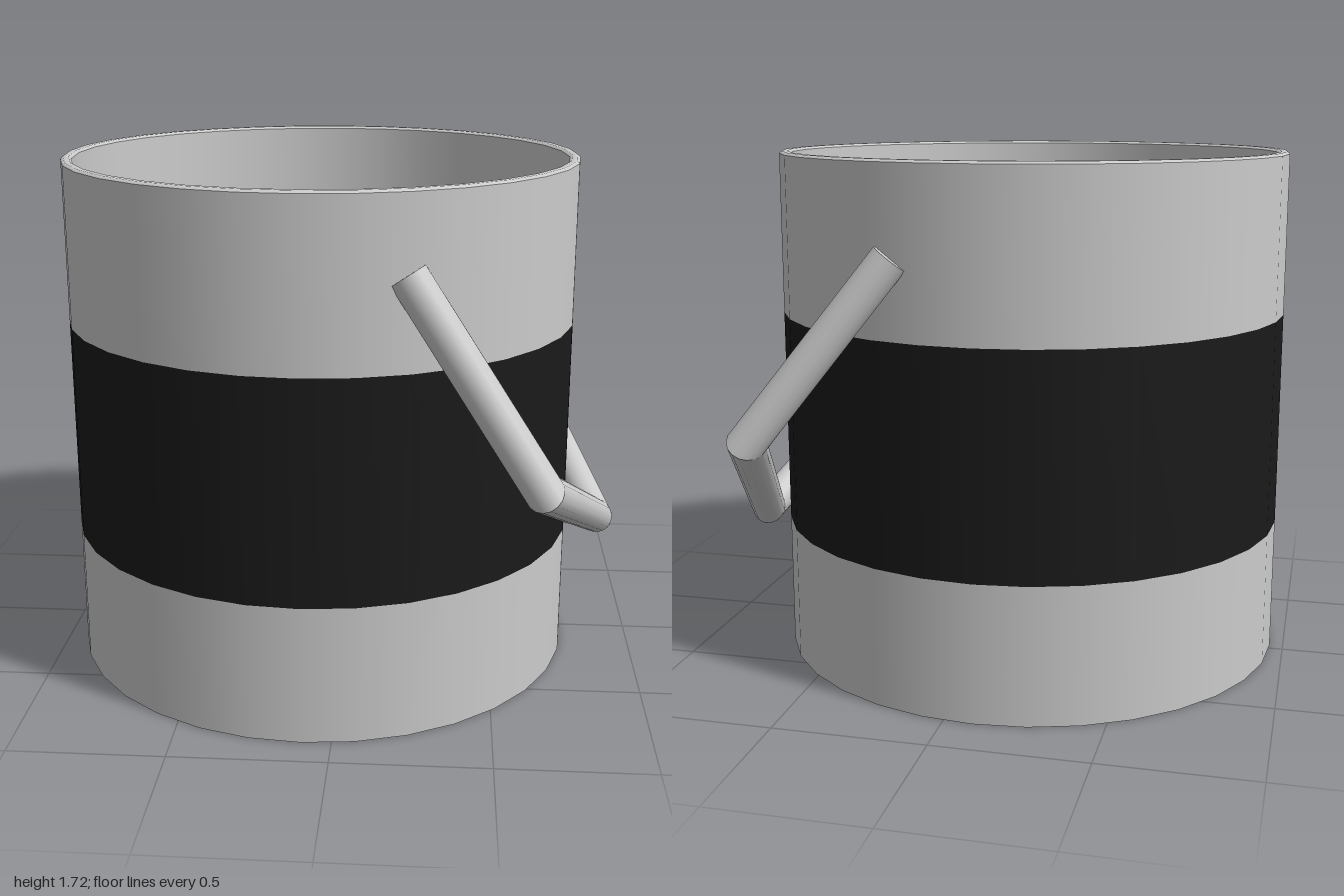
import * as THREE from 'three';

const R = 0.86, H = 1.72, WALL = 0.035, SIDES = 32;
const CX = -0.095, CZ = 0.03; // axis of the bucket
const grey = new THREE.MeshStandardMaterial({ color: 0xcccccc });
const dark = new THREE.MeshStandardMaterial({ color: 0x1a1a1a });

// one turned strip of the bucket, from [radius, height] points
function strip(name, points, material = grey) {
  const geometry = new THREE.LatheGeometry(points.map(p => new THREE.Vector2(...p)), SIDES);
  const mesh = new THREE.Mesh(geometry, material);
  mesh.name = name;
  return mesh;
}

// straight rod from a to b, its ends slid along the rod onto the mitre planes
function mitredRod(a, b, normalA, normalB, radius) {
  const dir = b.clone().sub(a).normalize();
  const geometry = new THREE.CylinderGeometry(radius, radius, a.distanceTo(b), 16, 1);
  geometry.applyQuaternion(new THREE.Quaternion().setFromUnitVectors(new THREE.Vector3(0, 1, 0), dir));
  const mid = a.clone().add(b).multiplyScalar(0.5);
  geometry.translate(mid.x, mid.y, mid.z);
  const pos = geometry.attributes.position, v = new THREE.Vector3();
  for (let i = 0; i < pos.count; i++) {
    v.fromBufferAttribute(pos, i);
    const [end, normal] = v.clone().sub(mid).dot(dir) < 0 ? [a, normalA] : [b, normalB];
    v.addScaledVector(dir, end.clone().sub(v).dot(normal) / dir.dot(normal));
    // keep the rod from poking through to the inside of the wall
    const r = Math.hypot(v.x - CX, v.z - CZ), k = Math.max(1, (R - WALL / 2) / r);
    pos.setXYZ(i, CX + (v.x - CX) * k, v.y, CZ + (v.z - CZ) * k);
  }
  return geometry;
}

export function createModel() {
  const model = new THREE.Group();

  // bucket: floor, three outer strips, rim and inner wall
  const bucket = new THREE.Group();
  bucket.name = 'bucket';
  bucket.position.set(CX, 0, CZ);
  const r = R - WALL, b = 0.008;
  bucket.add(
    strip('underside', [[0, 0], [R, 0]]),
    strip('lowerWall', [[R, 0], [R, 0.455]]),
    strip('darkBand', [[R, 0.455], [R, 1.18]], dark),
    strip('upperWall', [[R, 1.18], [R, H - b]]),
    strip('rim', [[R, H - b], [R - b, H], [r + b, H], [r, H - b]]),
    strip('innerWall', [[r, H - b], [r, 0.04]]),
    strip('innerFloor', [[r, 0.04], [0, 0.04]])
  );
  model.add(bucket);

  // hanging handle: a bent rod of four straight, mitred lengths
  const path = [
    [0.22, 1.47, 0.815], [0.625, 0.86, 0.925], [0.885, 0.41, -0.06],
    [0.575, 0.88, -0.925], [0.16, 1.43, -0.79]
  ].map(p => new THREE.Vector3(...p));
  const dirs = path.slice(1).map((p, i) => p.clone().sub(path[i]).normalize());
  const normals = path.map((p, i) =>
    (dirs[i - 1] || dirs[i]).clone().add(dirs[i] || dirs[i - 1]).normalize());
  const handle = new THREE.Group();
  handle.name = 'handle';
  dirs.forEach((d, i) => {
    const rod = new THREE.Mesh(mitredRod(path[i], path[i + 1], normals[i], normals[i + 1], 0.06), grey);
    rod.name = 'handleRod';
    handle.add(rod);
  });
  model.add(handle);
  return model;
}
